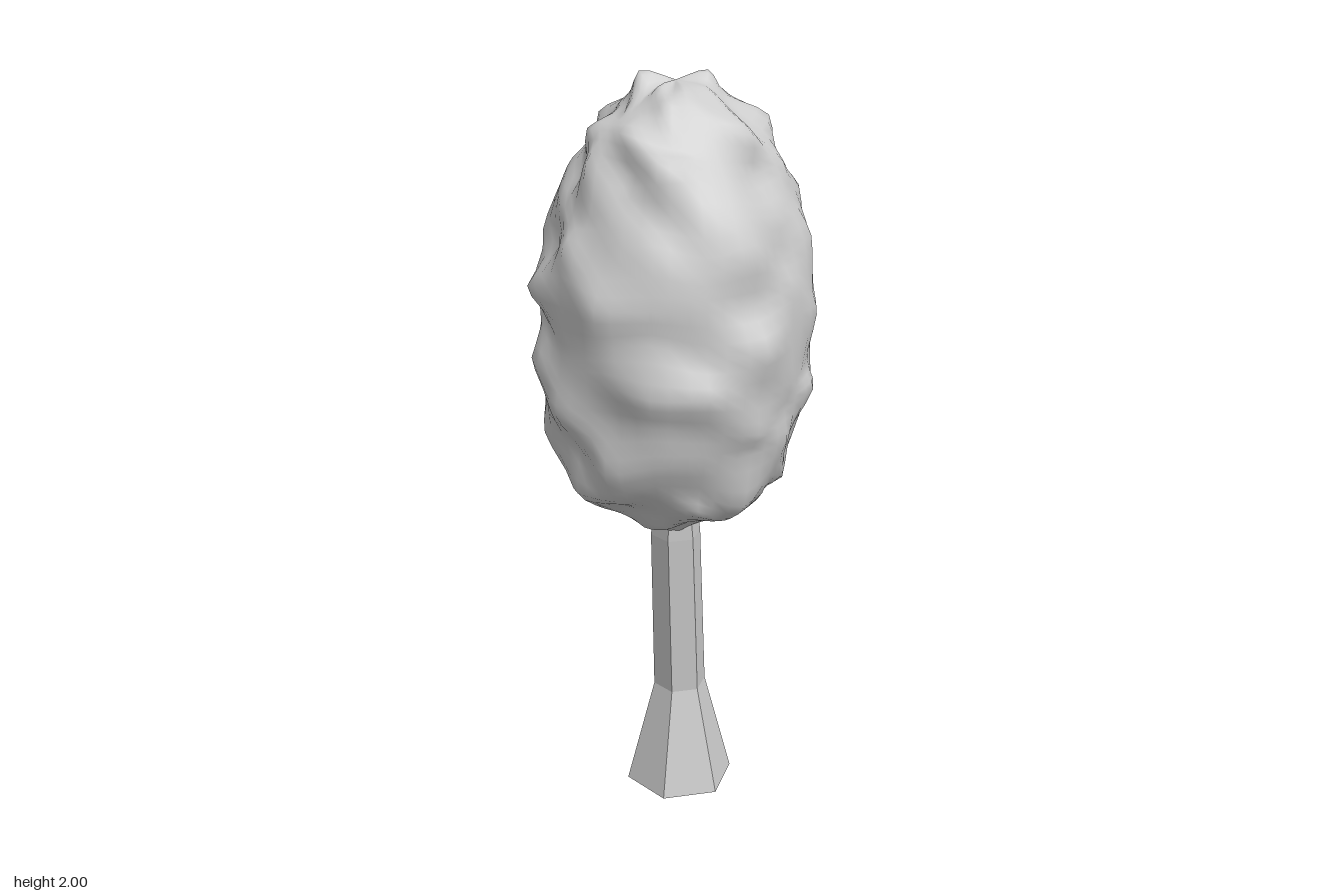
import * as THREE from 'three';
import { mergeVertices } from 'three/addons/utils/BufferGeometryUtils.js';

function seeded(seed) {
  return () => {
    seed = (seed * 16807) % 2147483647;
    return seed / 2147483647;
  };
}

// Six-sided trunk: flared foot, leaning stem, narrow tip hidden in the crown
function trunkGeometry() {
  const rings = [ // y, centre x, centre z, radius
    [0, 0.031, -0.085, 0.149],
    [0.3, 0.031, -0.083, 0.072],
    [0.78, 0.009, -0.037, 0.067],
    [1.0, 0, -0.01, 0.045],
  ];
  const geo = new THREE.CylinderGeometry(1, 1, 3, 6, 3);
  geo.rotateY(Math.PI / 6);
  geo.translate(0, 1.5, 0);
  const pos = geo.attributes.position;
  for (let i = 0; i < pos.count; i++) {
    const [y, cx, cz, r] = rings[Math.round(pos.getY(i))];
    pos.setXYZ(i, cx + r * pos.getX(i), y, cz + r * pos.getZ(i));
  }
  geo.computeVertexNormals();
  return geo;
}

// Egg of leaves: a coarse grid of pushed-out tufts, rounded by smooth curves
function crownGeometry() {
  const columns = 16;
  const fine = 48;
  const profile = [ // radius, y from top to bottom
    [0, 1.975], [0.075, 1.965], [0.135, 1.92], [0.195, 1.87], [0.238, 1.79],
    [0.28, 1.7], [0.31, 1.6], [0.329, 1.5], [0.334, 1.4], [0.336, 1.3],
    [0.331, 1.2], [0.311, 1.1], [0.274, 1.0], [0.218, 0.93], [0.15, 0.88],
    [0.075, 0.85], [0, 0.795],
  ];
  // larger lobes: column, row, outward push, lift
  const lobes = [
    [0, 1, 0.01, 0.03], [8, 1, 0, 0.025], [8, 3, 0.025, 0],
    [0, 7, 0.03, 0], [8, 7, 0.005, 0], [8, 10, 0.025, 0], [9, 10, 0.025, 0],
    [4, 6, 0.015, 0], [3, 9, 0.03, 0], [5, 8, 0.03, 0],
    [11, 9, 0.03, 0], [13, 8, 0.03, 0],
  ];
  const rand = seeded(4217);
  const last = profile.length - 1;

  const rings = profile.map(([radius, y], row) => {
    // tufts shrink to nothing at the two poles
    const size = Math.min(1, Math.min(row, last - row) / 3);
    const points = [];
    for (let col = 0; col < columns; col++) {
      const lobe = lobes.find(([c, r]) => c === col && r === row);
      const [, , push, lift] = lobe || [col, row, 0, 0];
      const tuft = ((col + row) % 2 ? 0.01 : -0.01) + (lobe ? 0 : 0.04 * (rand() - 0.5));
      const r = radius + size * tuft + push;
      const h = y + size * 0.05 * (rand() - 0.5) + lift;
      const a = (col / columns) * Math.PI * 2;
      points.push(new THREE.Vector3(-r * Math.cos(a), h, r * Math.sin(a)));
    }
    return new THREE.CatmullRomCurve3(points, true, 'catmullrom', 0.4);
  });

  const geo = new THREE.SphereGeometry(1, fine, fine);
  const pos = geo.attributes.position;
  for (let i = 0; i <= fine; i++) {
    const u = (i % fine) / fine;
    const meridian = new THREE.CatmullRomCurve3(
      rings.map((ring) => ring.getPoint(u)), false, 'catmullrom', 0.4
    );
    for (let j = 0; j <= fine; j++) {
      const p = meridian.getPoint(j / fine);
      pos.setXYZ(j * (fine + 1) + i, p.x, p.y, p.z);
    }
  }
  geo.deleteAttribute('normal');
  geo.deleteAttribute('uv');
  const welded = mergeVertices(geo, 1e-5);
  welded.computeVertexNormals();
  return welded;
}

export function createModel() {
  const group = new THREE.Group();
  group.name = 'tree';

  const trunk = new THREE.Mesh(
    trunkGeometry(),
    new THREE.MeshStandardMaterial({ color: 0xcccccc, flatShading: true })
  );
  trunk.name = 'trunk';

  const crown = new THREE.Mesh(
    crownGeometry(),
    new THREE.MeshStandardMaterial({ color: 0xcccccc })
  );
  crown.name = 'crown';

  group.add(trunk, crown);
  return group;
}
